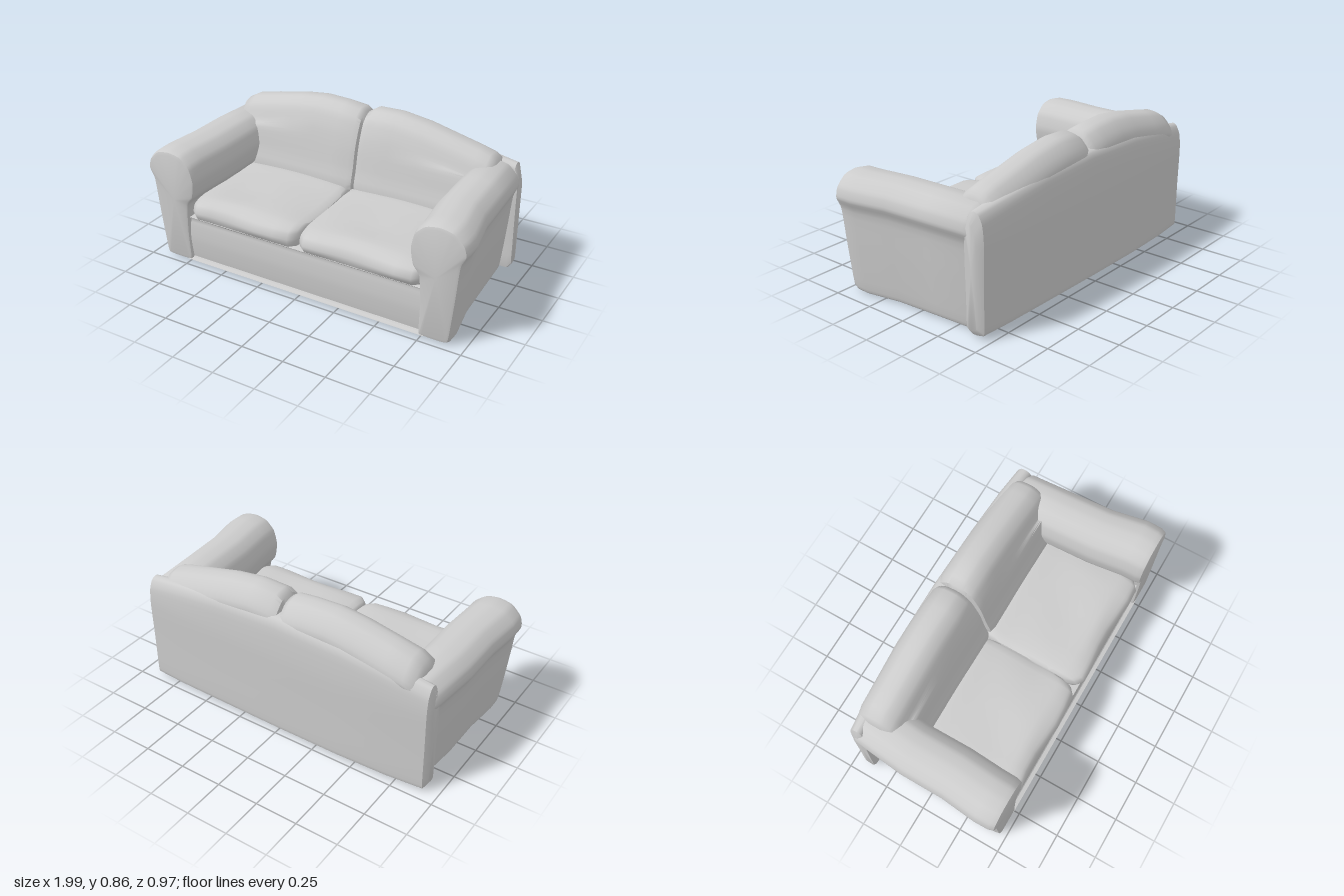
import * as THREE from 'three';
import { toCreasedNormals } from 'three/addons/utils/BufferGeometryUtils.js';

const material = new THREE.MeshStandardMaterial({ color: 0xcccccc });

// Rounded closed outline through 2D control points
function outline(points, count = 40, tension = 0.35) {
  const curve = new THREE.CatmullRomCurve3(
    points.map(([a, b]) => new THREE.Vector3(a, b, 0)), true, 'catmullrom', tension);
  return curve.getPoints(count).slice(0, count);
}

// Skin a row of equal-length rings, close both ends, face outward
function loft(name, rings, crease = 0.75) {
  const n = rings[0].length, verts = rings.flat(), index = [];
  for (let i = 0; i < rings.length - 1; i++) {
    for (let j = 0; j < n; j++) {
      const a = i * n + j, b = i * n + (j + 1) % n;
      index.push(a, b, b + n, a, b + n, a + n);
    }
  }
  const last = (rings.length - 1) * n;
  for (const [start, ring, flip] of [[0, rings[0], true], [last, rings.at(-1), false]]) {
    const c = new THREE.Vector3();
    ring.forEach(p => c.addScaledVector(p, 1 / n));
    const k = verts.push(c) - 1;
    for (let j = 0; j < n; j++) {
      const a = start + j, b = start + (j + 1) % n;
      index.push(k, flip ? b : a, flip ? a : b);
    }
  }
  let volume = 0;
  const cross = new THREE.Vector3();
  for (let i = 0; i < index.length; i += 3) {
    volume += verts[index[i]].dot(cross.crossVectors(verts[index[i + 1]], verts[index[i + 2]]));
  }
  if (volume < 0) index.reverse();
  const geo = new THREE.BufferGeometry().setFromPoints(verts);
  geo.setIndex(index);
  const mesh = new THREE.Mesh(toCreasedNormals(geo, crease), material);
  mesh.name = name;
  return mesh;
}

// Ring in the z-y plane at x, shrunk around a centre (z, y)
function ringX(points, x, shrink, cz, cy) {
  return outline(points).map(p =>
    new THREE.Vector3(x, cy + (p.y - cy) * shrink, cz + (p.x - cz) * shrink));
}

// Rolled arm: section in x-y, lofted from back to front
function arm(name, side) {
  const section = outline([
    [0.75, 0.01], [0.89, 0.01], [0.915, 0.04], [0.945, 0.3], [0.965, 0.5], [0.995, 0.57],
    [0.98, 0.63], [0.92, 0.685], [0.84, 0.7], [0.76, 0.685], [0.7, 0.63], [0.675, 0.54],
    [0.69, 0.44], [0.73, 0.38], [0.74, 0.2], [0.735, 0.03]], 64, 0.3);
  const back = side > 0 ? -0.39 : -0.43;
  const widths = side > 0 ? [0.93, 0.945, 0.96, 1] : [0.95, 0.98, 0.98, 1];
  // z, outer edge factor, shrink
  const stations = [
    [back, widths[0], 0.9], [back + 0.03, widths[0], 1], [-0.1, widths[1], 1],
    [0.15, widths[2], 1.005], [0.36, widths[3], 1.01], [0.44, widths[3], 1], [0.47, widths[3], 0.94],
    [0.475, widths[3], 0.85]];
  return loft(name, stations.map(([z, w, s]) => section.map(p => {
    const x = 0.83 + (p.x - 0.83) * s;
    const lean = z > 0.4 ? 0.02 * (p.y - 0.4) : 0;
    return new THREE.Vector3(side * x * w, Math.max(0, 0.36 + (p.y - 0.36) * (1 + (s - 1) * 0.5)), z + lean);
  })));
}

// Seat cushion with a bulging front and slightly sagging underside
function seatCushion(name, x0, x1, sag) {
  const rings = [0, 0.02, 0.07, 0.2, 0.36, 0.5, 0.64, 0.8, 0.93, 0.98, 1].map(t => {
    const puff = Math.sin(Math.PI * t);
    const wave = 0.008 * Math.sin(t * 9 + sag * 100);
    const edge = Math.min(t, 1 - t);
    const shrink = edge === 0 ? 0.75 : edge < 0.03 ? 0.91 : 1;
    const top = 0.405 + 0.015 * puff;
    return ringX([
      [0.4, 0.275 - sag * puff], [0.445, 0.29], [0.465 + wave, 0.335], [0.445 + wave, 0.385],
      [0.37, top], [0.2, top + wave], [0, top + 0.005], [-0.14, top + 0.01],
      [-0.2, 0.38], [-0.2, 0.29], [0.1, 0.275]], x0 + (x1 - x0) * t, shrink, 0.14, 0.345);
  });
  return loft(name, rings, 0.9);
}

// Back cushion: stations of x, crown height, shrink
function backCushion(name, stations) {
  return loft(name, stations.map(([x, top, s]) => ringX([
    [-0.12, 0.4], [-0.145, 0.52], [-0.17, 0.64], [-0.195, top - 0.13], [-0.235, top - 0.045],
    [-0.3, top], [-0.385, top - 0.01], [-0.44, top - 0.065], [-0.465, top - 0.13],
    [-0.43, 0.58], [-0.37, 0.4], [-0.25, 0.38]], x, s, -0.33, 0.55)), 0.9);
}

export function createModel() {
  const sofa = new THREE.Group();
  sofa.name = 'sofa';

  // Front plinth and underside
  const plinth = [[0.42, 0.02], [0.44, 0.035], [0.45, 0.16], [0.44, 0.28], [0.4, 0.3],
    [-0.38, 0.3], [-0.4, 0.28], [-0.4, 0.02]];
  sofa.add(loft('base', [-0.76, 0, 0.77].map(x => ringX(plinth, x, 1, 0, 0)), 0.6));

  // Arched, padded back panel: x, top height, rear z, shrink
  const panel = [
    [-0.935, 0.655, -0.43, 0.9], [-0.915, 0.685, -0.455, 1], [-0.7, 0.72, -0.475, 1],
    [-0.4, 0.755, -0.485, 1], [0, 0.77, -0.485, 1], [0.4, 0.75, -0.48, 1],
    [0.7, 0.715, -0.475, 1], [0.89, 0.685, -0.465, 1], [0.915, 0.655, -0.44, 0.9]];
  sofa.add(loft('backPanel', panel.map(([x, top, z, s]) => ringX([
    [-0.37, 0.03], [z + 0.015, 0.03], [z + 0.002, 0.06], [z, 0.3], [z - 0.004, 0.53],
    [z + 0.005, top - 0.06], [z + 0.03, top - 0.01], [-0.4, top], [-0.37, top - 0.03],
    [-0.36, 0.5], [-0.365, 0.2]], x, s, -0.4, 0.36))));

  sofa.add(arm('leftArm', 1), arm('rightArm', -1));
  sofa.add(seatCushion('leftSeatCushion', -0.015, 0.74, 0.005));
  sofa.add(seatCushion('rightSeatCushion', -0.73, -0.02, 0.018));

  sofa.add(backCushion('rightBackCushion', [
    [-0.845, 0.735, 0.8], [-0.825, 0.765, 0.95], [-0.77, 0.785, 1], [-0.65, 0.81, 1],
    [-0.45, 0.85, 1], [-0.3, 0.868, 1], [-0.15, 0.862, 1], [-0.04, 0.85, 1],
    [-0.01, 0.845, 0.95], [0, 0.82, 0.8]]));
  sofa.add(backCushion('leftBackCushion', [
    [0, 0.82, 0.8], [0.01, 0.85, 0.95], [0.05, 0.86, 1], [0.2, 0.865, 1], [0.38, 0.84, 1],
    [0.55, 0.8, 1], [0.7, 0.765, 1], [0.77, 0.745, 1], [0.8, 0.735, 0.95], [0.815, 0.71, 0.8]]));

  return sofa;
}
